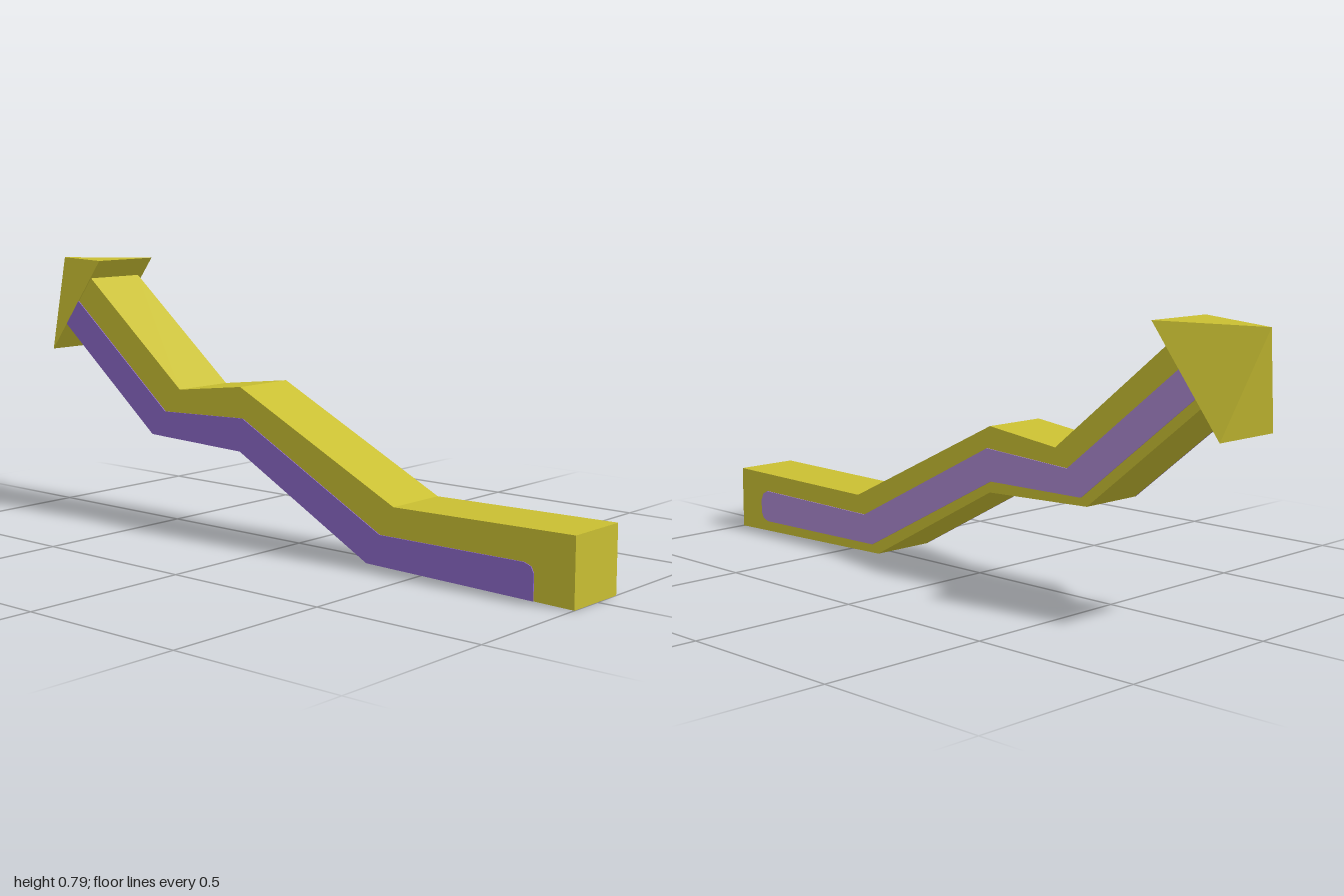
import * as THREE from 'three';

const yellow = new THREE.MeshStandardMaterial({ color: 0xc9bf32, name: 'olive yellow' });
const lilac = new THREE.MeshStandardMaterial({ color: 0xab88d0, name: 'lilac' });
const violet = new THREE.MeshStandardMaterial({ color: 0x8c68c8, name: 'violet' });

// Extrudes a side profile of [z, y] points across x, from x0 to x1
function slab(name, profile, x0, x1, material) {
  const shape = new THREE.Shape(profile.map(([z, y]) => new THREE.Vector2(-z, y)));
  const geometry = new THREE.ExtrudeGeometry(shape, { depth: x1 - x0, bevelEnabled: false });
  geometry.rotateY(Math.PI / 2).translate(x0, 0, 0);
  const mesh = new THREE.Mesh(geometry, material);
  mesh.name = name;
  return mesh;
}

// Pyramid head with a tilted rectangular base
function arrowHead() {
  const w = 0.11;
  const topL = [w, 0.79, -0.715], topR = [-w, 0.79, -0.715];
  const lowL = [w, 0.505, -0.935], lowR = [-w, 0.505, -0.935];
  const tip = [0, 0.785, -1];
  const faces = [
    [topL, tip, topR],
    [lowL, tip, topL],
    [lowR, tip, lowL],
    [topR, tip, lowR],
    [topL, topR, lowR],
    [topL, lowR, lowL],
  ];
  const geometry = new THREE.BufferGeometry();
  geometry.setAttribute('position', new THREE.Float32BufferAttribute(faces.flat(2), 3));
  geometry.computeVertexNormals();
  const mesh = new THREE.Mesh(geometry, yellow);
  mesh.name = 'arrowHead';
  return mesh;
}

export function createModel() {
  const group = new THREE.Group();
  group.name = 'zigzagArrow';

  // Bent square shaft
  const under = [[1, 0], [0.34, 0.015], [-0.13, 0.268], [-0.49, 0.28], [-0.871, 0.588]];
  const upper = [[-0.757, 0.735], [-0.375, 0.425], [-0.13, 0.455], [0.43, 0.182], [1, 0.19]];
  group.add(slab('shaft', [...under, ...upper], -0.107, 0.09, yellow));
  group.add(arrowHead());

  // Left stripe, centred on its side, with a rounded front end
  group.add(slab('leftStripe', [
    [0.9, 0.06], [0.89, 0.042], [0.87, 0.034], [0.365, 0.04], [-0.135, 0.3], [-0.47, 0.302], [-0.853, 0.61],
    [-0.8, 0.68], [-0.42, 0.374], [-0.12, 0.392], [0.4, 0.126], [0.87, 0.132], [0.89, 0.122], [0.9, 0.1],
  ], 0.09, 0.093, lilac));

  // Right stripe, running along the bottom edge
  group.add(slab('rightStripe', [
    [0.88, 0.003], ...under.slice(1),
    [-0.814, 0.662], [-0.435, 0.354], [-0.12, 0.365], [0.385, 0.1], [0.85, 0.1], [0.872, 0.092], [0.88, 0.075],
  ], -0.11, -0.107, violet));

  return group;
}
